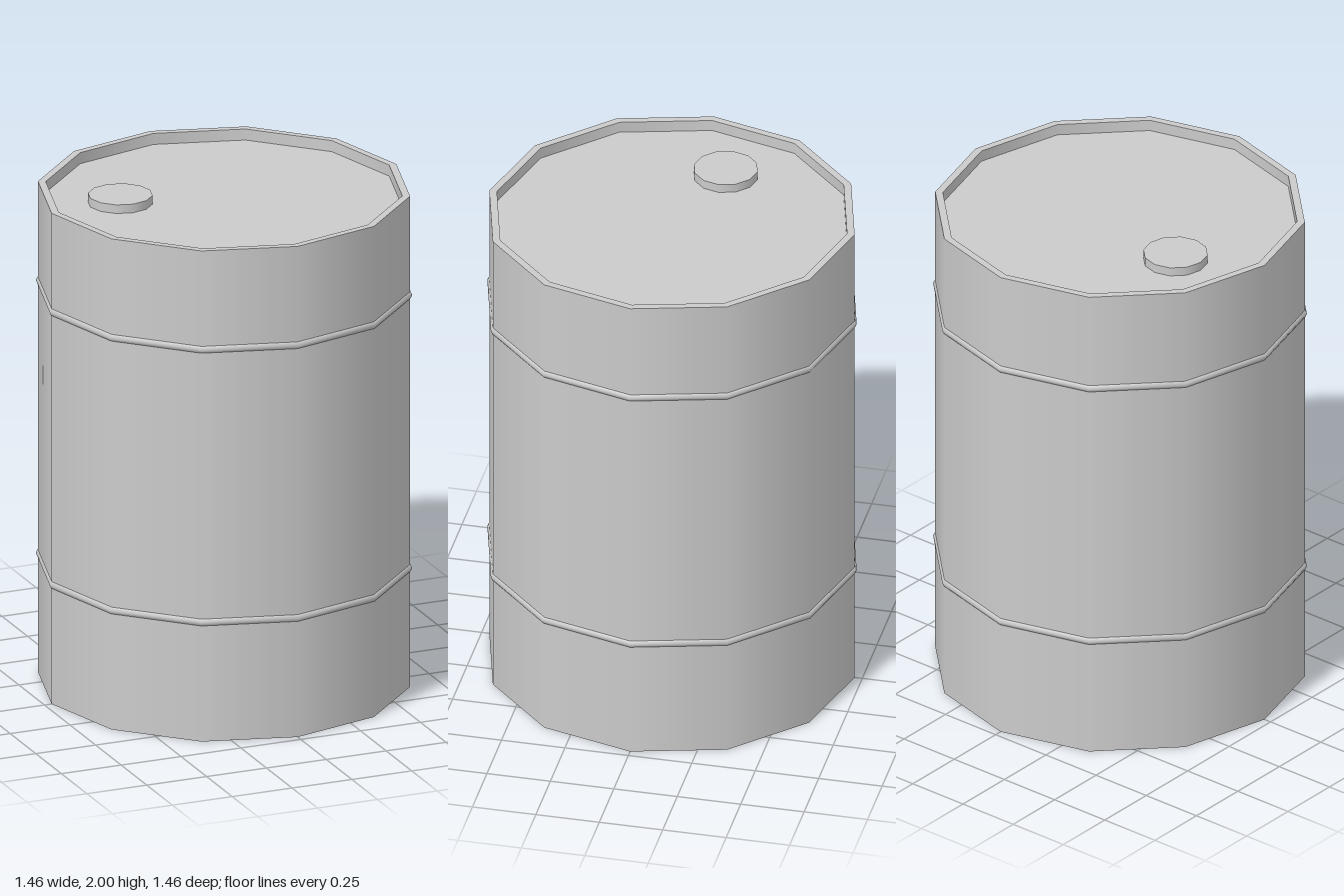
import * as THREE from 'three';

const SIDES = 12;
const R = 0.72, INNER = 0.69, HEIGHT = 2, RECESS = 0.045;

export function createModel() {
  const group = new THREE.Group();
  const material = new THREE.MeshStandardMaterial({ color: 0xcccccc });

  const add = (name, geometry, x = 0, y = 0, z = 0) => {
    const mesh = new THREE.Mesh(geometry, material);
    mesh.name = name;
    mesh.position.set(x, y, z);
    group.add(mesh);
    return mesh;
  };

  // One revolved band per profile segment: smooth around, crisp at the rims
  const band = (name, r0, y0, r1, y1) =>
    add(name, new THREE.LatheGeometry([new THREE.Vector2(r0, y0), new THREE.Vector2(r1, y1)], SIDES));

  const lidY = HEIGHT - RECESS;
  band('bottomPlate', 0, RECESS, INNER, RECESS);
  band('bottomRimInside', INNER, RECESS, INNER, 0);
  band('bottomRim', INNER, 0, R, 0);
  band('drumWall', R, 0, R, HEIGHT);
  band('topRim', R, HEIGHT, INNER, HEIGHT);
  band('topRimInside', INNER, HEIGHT, INNER, lidY);
  band('topLid', INNER, lidY, 0, lidY);

  // Rolling hoops around the wall
  for (const [name, y] of [['lowerHoop', 0.485], ['upperHoop', 1.597]]) {
    add(name, new THREE.TorusGeometry(0.71, 0.018, 8, SIDES).rotateX(Math.PI / 2), 0, y, 0);
  }

  // Filler cap on the lid
  const capHeight = 0.035;
  add('fillerCap', new THREE.CylinderGeometry(0.125, 0.125, capHeight, 12), -0.38, lidY + capHeight / 2, -0.125);

  return group;
}
